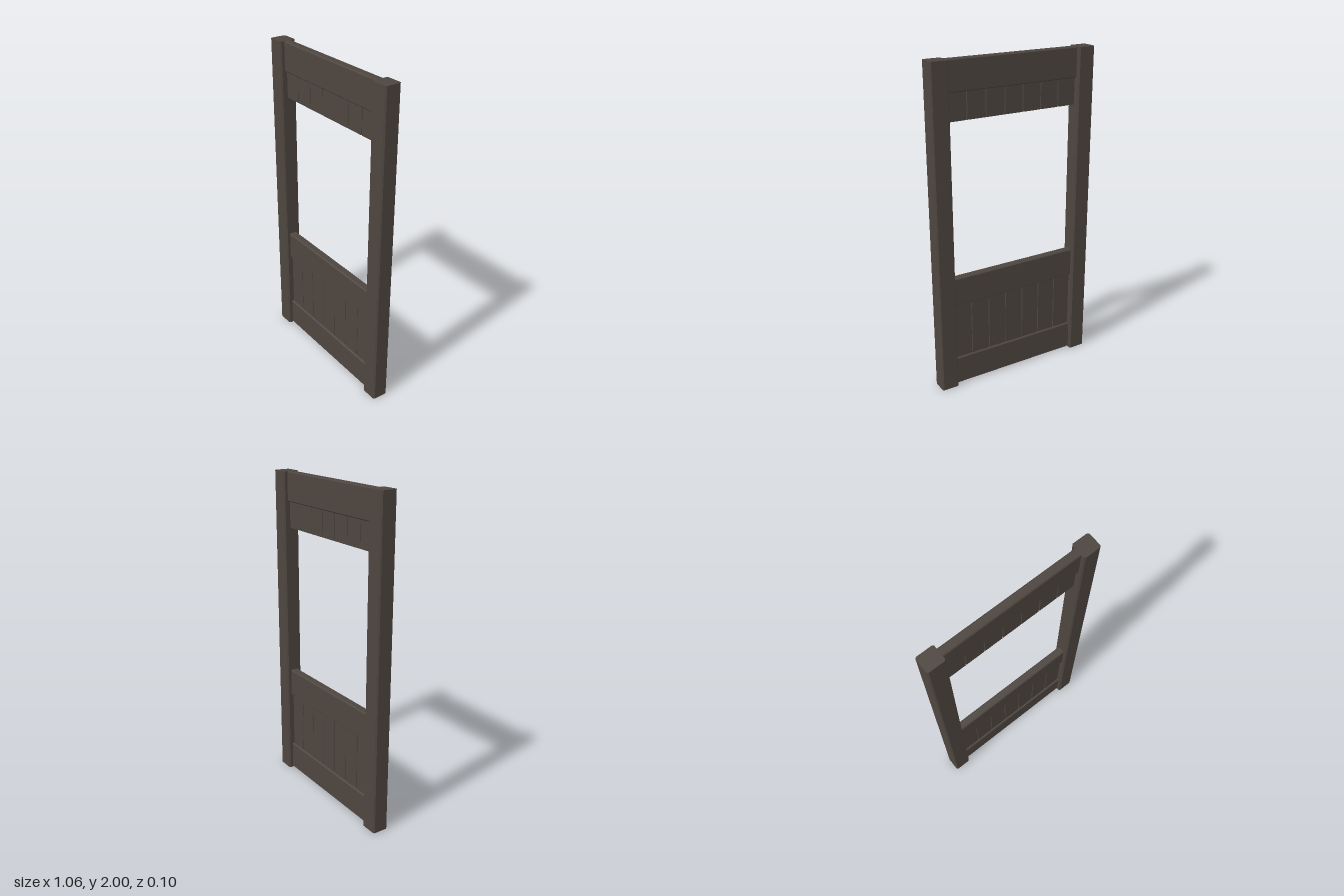
import * as THREE from 'three';

// Rectangle w x h with small chamfered corners, extruded over length len and centred
function chamferedBar(w, h, len, c) {
  const x = w / 2, y = h / 2;
  const shape = new THREE.Shape([
    [-x + c, -y], [x - c, -y], [x, -y + c], [x, y - c],
    [x - c, y], [-x + c, y], [-x, y - c], [-x, -y + c],
  ].map(([a, b]) => new THREE.Vector2(a, b)));
  const geo = new THREE.ExtrudeGeometry(shape, { depth: len, bevelEnabled: false });
  return geo.translate(0, 0, -len / 2);
}

export function createModel() {
  const wood = new THREE.MeshStandardMaterial({ color: 0x4d453f });
  wood.name = 'darkWood';
  const model = new THREE.Group();
  model.name = 'panelFrame';

  const add = (name, geo, x, y) => {
    const mesh = new THREE.Mesh(geo, wood);
    mesh.name = name;
    mesh.position.set(x, y, 0);
    model.add(mesh);
  };

  // Upright posts with chamfered long edges
  const postGeo = chamferedBar(0.108, 0.1, 2, 0.008).rotateX(-Math.PI / 2);
  add('leftPost', postGeo, 0.474, 1);
  add('rightPost', postGeo, -0.474, 1);

  // Horizontal rails, chamfered along their length
  const railGeo = chamferedBar(0.05, 0.18, 0.85, 0.006).rotateY(Math.PI / 2);
  add('bottomRail', railGeo, 0, 0.092);
  add('middleRail', railGeo, 0, 0.63);
  add('topRail', railGeo, 0, 1.91);

  // Rows of seven recessed boards with narrow gaps between them
  const boardRow = (name, bottom, top) => {
    const geo = chamferedBar(0.117, 0.026, top - bottom, 0.002).rotateX(-Math.PI / 2);
    for (let i = -3; i <= 3; i++) add(name, geo, i * 0.12, (top + bottom) / 2);
  };
  boardRow('lowerBoard', 0.17, 0.55);
  boardRow('upperBoard', 1.66, 1.83);

  return model;
}
